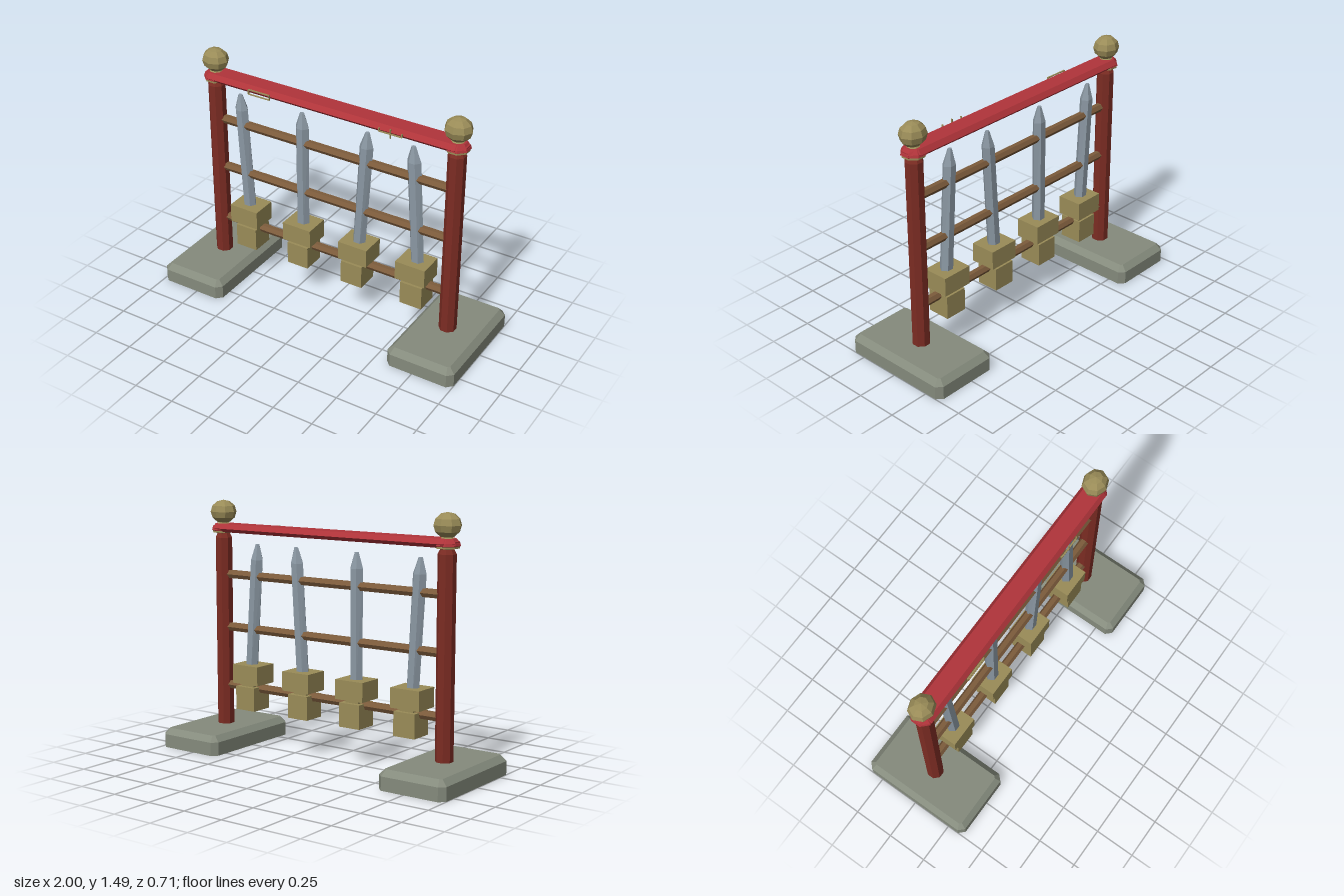
import * as THREE from 'three';

const mat = (name, color, side = THREE.FrontSide) => {
  const m = new THREE.MeshStandardMaterial({ color, side });
  m.flatShading = true;
  m.name = name;
  return m;
};

// Skin between horizontal rings of [x, y, z] points (counter-clockwise from above, bottom first)
function loft(rings, capBottom = true) {
  const pos = [], n = rings[0].length;
  const tri = (a, b, c) => pos.push(...a, ...b, ...c);
  for (let r = 0; r < rings.length - 1; r++) {
    for (let i = 0; i < n; i++) {
      const j = (i + 1) % n, lo = rings[r], hi = rings[r + 1];
      tri(lo[i], lo[j], hi[j]);
      tri(lo[i], hi[j], hi[i]);
    }
  }
  const top = rings[rings.length - 1], bot = rings[0];
  for (let i = 1; i < n - 1; i++) {
    tri(top[0], top[i], top[i + 1]);
    if (capBottom) tri(bot[0], bot[i + 1], bot[i]);
  }
  const g = new THREE.BufferGeometry();
  g.setAttribute('position', new THREE.Float32BufferAttribute(pos, 3));
  g.computeVertexNormals();
  return g;
}

// Rectangle with cut corners
const cutRect = (w, d, c, y) => [
  [w, y, d - c], [w, y, c - d], [w - c, y, -d], [c - w, y, -d],
  [-w, y, c - d], [-w, y, d - c], [c - w, y, d], [w - c, y, d],
];

// Flat-sided blade section with sharp edges left and right
const bladeRing = (x, y, w, f, t) => [
  [x + w, y, 0], [x + f, y, -t], [x - f, y, -t],
  [x - w, y, 0], [x - f, y, t], [x + f, y, t],
];

export function createModel() {
  const model = new THREE.Group();
  model.name = 'swordRack';

  const stone = mat('stone', 0x858b7d, THREE.DoubleSide);
  const postRed = mat('dark red paint', 0x7c2c23);
  const beamRed = mat('bright red paint', 0xb0343a);
  const brass = mat('brass', 0x9a8c58);
  const wood = mat('wood', 0x7d5c3c);
  const steel = mat('steel', 0x8b98a3);

  const add = (name, geo, material, x = 0, y = 0, z = 0, parent = model) => {
    const m = new THREE.Mesh(geo, material);
    m.name = name;
    m.position.set(x, y, z);
    parent.add(m);
    return m;
  };

  // Feet, posts and finials
  const footGeo = loft([
    cutRect(0.2125, 0.355, 0.033, 0),
    cutRect(0.2125, 0.355, 0.033, 0.08),
    cutRect(0.18, 0.322, 0.012, 0.115),
  ], false);
  const ring = (pts) => new THREE.LatheGeometry(
    pts.map(([r, y]) => new THREE.Vector2(r, y)), 8, Math.PI / 8);
  const k = 1 / Math.cos(Math.PI / 8);
  const postGeo = ring([[0, 0.02], [0.048 * k, 0.02], [0.048 * k, 1.26], [0.034 * k, 1.29], [0, 1.29]]);
  const neckGeo = ring([[0, 1.285], [0.03, 1.285], [0.068, 1.292], [0.068, 1.302],
    [0.055, 1.33], [0.03, 1.352], [0.045, 1.37], [0, 1.37]]);
  const collarGeo = ring([[0.06, 1.297], [0.074, 1.306], [0.07, 1.32], [0.05, 1.345], [0, 1.345]]);
  const ballGeo = new THREE.SphereGeometry(1, 8, 6);
  for (const side of [-1, 1]) {
    const x = side * 0.787;
    const name = side > 0 ? 'left' : 'right';
    add(name + 'Foot', footGeo, stone, x);
    add(name + 'Post', postGeo, postRed, x);
    add(name + 'FinialNeck', neckGeo, brass, x);
    add(name + 'BeamCollar', collarGeo, beamRed, x);
    add(name + 'FinialBall', ballGeo, brass, x, 1.415).scale.set(0.082, 0.071, 0.073);
  }

  // Top beam, six-sided, drawn in to points at both ends
  const section = (x, s) => [
    [x, 0.05, 1.296], [x, 0.071, 1.317], [x, 0.05, 1.345],
    [x, -0.05, 1.345], [x, -0.071, 1.317], [x, -0.05, 1.296],
  ].map(([a, z, y]) => [a, 1.317 + (y - 1.317) * s, z * s]);
  add('topBeam', loft([section(0.85, 0.45), section(0.8, 1), section(-0.8, 1), section(-0.85, 0.45)]
    .map((r) => r.reverse()).reverse()), beamRed);

  // Thin brass ornaments on the front of the beam
  const bar = (name, x, y, w, h) => add(name, new THREE.BoxGeometry(w, h, 0.009), brass, x, y, 0.082);
  for (const s of [-1, 1]) {
    bar('frameRail', -0.432, 1.317 + s * 0.014, 0.146, 0.005);
    bar('frameEnd', -0.432 + s * 0.071, 1.317, 0.005, 0.028);
    bar('ornamentTick', 0.423 + s * 0.071, 1.325, 0.005, 0.02);
  }
  bar('ornamentBar', 0.423, 1.315, 0.146, 0.005);
  bar('ornamentUpright', 0.423, 1.317, 0.005, 0.054);

  // Cross rails
  const railGeo = new THREE.CylinderGeometry(0.027, 0.027, 1.52, 6).rotateZ(Math.PI / 2);
  for (const y of [1.04, 0.718, 0.36]) add('crossRail', railGeo, wood, 0, y);

  // Swords: tip, blade foot, guard and grip positions along x
  const swords = [
    [-0.62, -0.578, -0.574, -0.566],
    [-0.195, -0.195, -0.196, -0.195],
    [0.235, 0.19, 0.188, 0.178],
    [0.525, 0.576, 0.568, 0.575],
  ];
  const guardGeo = new THREE.BoxGeometry(0.19, 0.115, 0.156);
  const gripGeo = new THREE.BoxGeometry(0.14, 0.142, 0.14);
  const stemGeo = new THREE.BoxGeometry(0.09, 0.06, 0.09);
  swords.forEach(([tip, foot, guard, grip], i) => {
    const sword = new THREE.Group();
    sword.name = 'sword' + (i + 1);
    model.add(sword);
    const shoulder = tip + (foot - tip) * 0.12;
    add('blade', loft([
      bladeRing(foot, 0.48, 0.041, 0.02, 0.032),
      bladeRing(shoulder, 1.14, 0.044, 0.019, 0.032),
      bladeRing(tip, 1.232, 0.014, 0.006, 0.01),
    ]), steel, 0, 0, 0, sword);
    add('guard', guardGeo, brass, guard, 0.4475, 0, sword);
    add('stem', stemGeo, brass, grip, 0.38, 0, sword);
    add('grip', gripGeo, brass, grip, 0.3, 0, sword);
  });

  return model;
}
